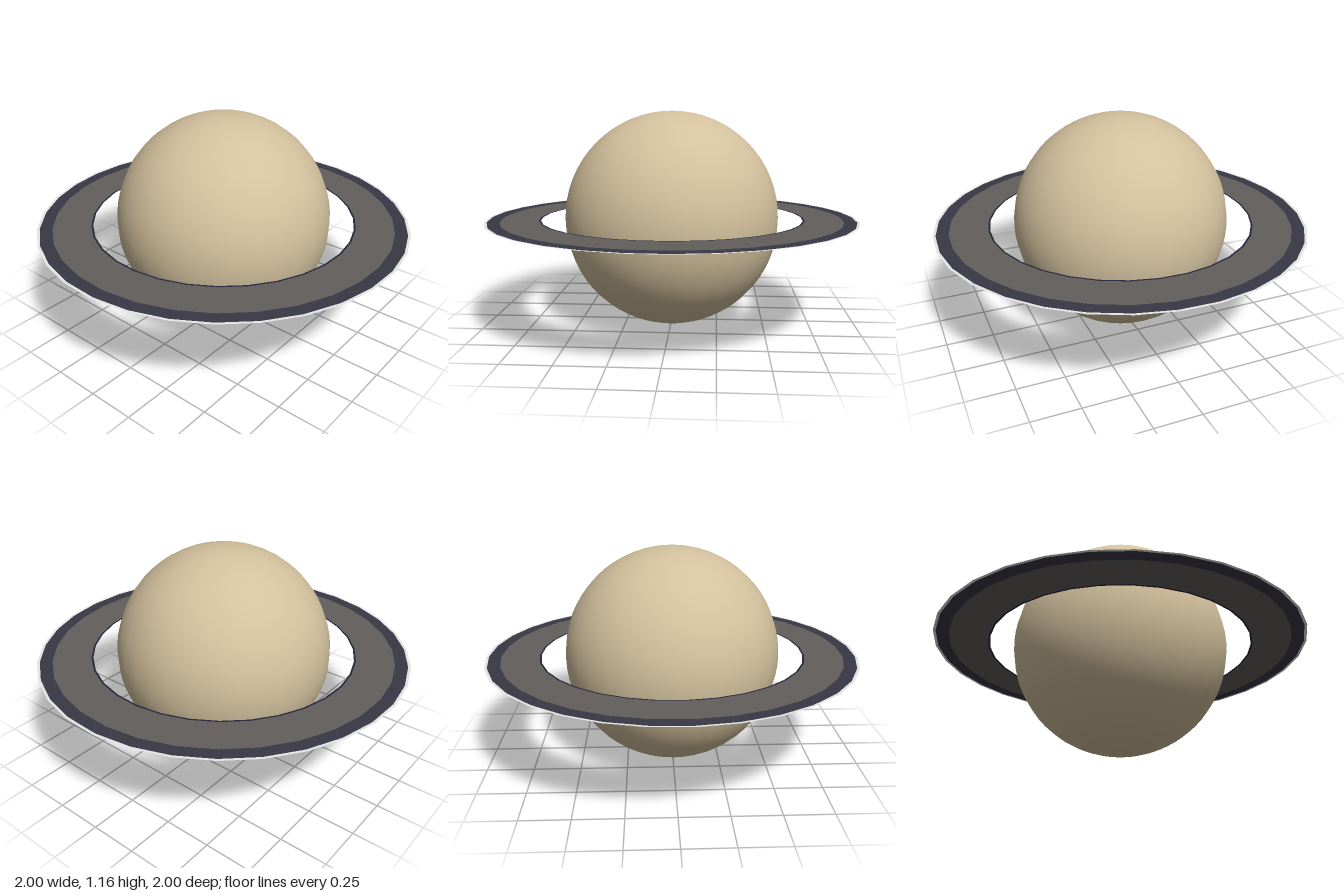
import * as THREE from 'three';

const SEGMENTS = 32;
const PLANET_RADIUS = 0.578;

function material(name, color, side = THREE.FrontSide) {
  const m = new THREE.MeshStandardMaterial({ color, side });
  m.name = name;
  return m;
}

export function createModel() {
  const model = new THREE.Group();
  model.name = 'ringedPlanet';

  // Planet: smooth sphere resting on the ground
  const planet = new THREE.Mesh(
    new THREE.SphereGeometry(PLANET_RADIUS, SEGMENTS, SEGMENTS),
    material('sand', 0xd3c19d)
  );
  planet.name = 'planet';
  planet.position.y = PLANET_RADIUS;
  model.add(planet);

  // Ring system: flat concentric bands around the equator
  const rings = new THREE.Group();
  rings.name = 'rings';
  rings.position.y = PLANET_RADIUS;
  rings.rotation.y = 0.06;
  model.add(rings);

  const navy = material('navy', 0x24243c, THREE.DoubleSide);
  const grey = material('warmGrey', 0x625e5b, THREE.DoubleSide);
  const slate = material('slate', 0x383745, THREE.DoubleSide);
  const pale = material('pale', 0xf4f4f4, THREE.DoubleSide);

  const bands = [
    ['innerEdge', 0.707, 0.717, navy],
    ['mainBand', 0.717, 0.92, grey],
    ['outerBand', 0.92, 0.986, slate],
    ['outerRim', 0.986, 1.0, pale],
  ];
  for (const [name, inner, outer, mat] of bands) {
    const geometry = new THREE.RingGeometry(inner, outer, SEGMENTS, 1);
    geometry.rotateX(-Math.PI / 2); // lay flat, facing up
    const band = new THREE.Mesh(geometry, mat);
    band.name = name;
    rings.add(band);
  }

  return model;
}
